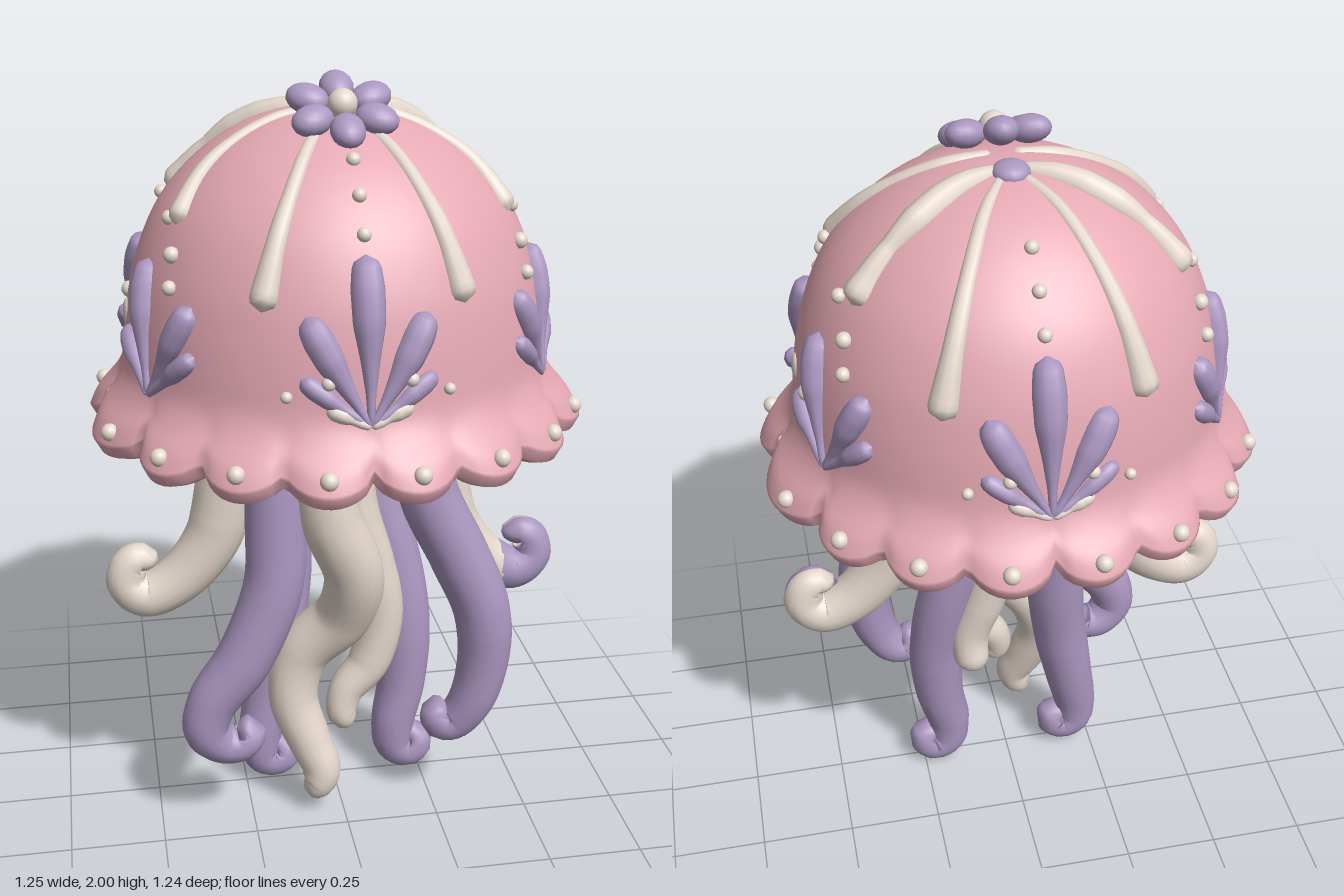
import * as THREE from 'three';
import { mergeVertices } from 'three/addons/utils/BufferGeometryUtils.js';

const V = (x, y, z) => new THREE.Vector3(x, y, z);
const ZS = 0.975; // the bell is slightly narrower front to back

// Outer bell profile (radius, height) from rim to crown
const outer = new THREE.SplineCurve([[0.618, 1.16], [0.598, 1.205], [0.562, 1.25], [0.54, 1.3], [0.53, 1.38],
  [0.518, 1.46], [0.494, 1.56], [0.447, 1.67], [0.385, 1.755], [0.3, 1.83], [0.2, 1.885], [0.1, 1.914], [0, 1.922]]
  .map(p => new THREE.Vector2(...p))).getPoints(48);
const inner = new THREE.SplineCurve([[0, 1.275], [0.2, 1.27], [0.36, 1.245], [0.47, 1.195], [0.53, 1.145], [0.565, 1.125],
  [0.603, 1.132]].map(p => new THREE.Vector2(...p))).getPoints(24);

// Profile lookup: radius from height, or height from radius
function lookup(from, to, value) {
  for (let i = 1; i < outer.length; i++) {
    const a = outer[i - 1], b = outer[i];
    if ((a[from] - value) * (b[from] - value) <= 0) {
      return a[to] + (b[to] - a[to]) * (value - a[from]) / ((b[from] - a[from]) || 1);
    }
  }
  return 0;
}
// Point on the bell by azimuth (0 = left side, PI/2 = front) and height
function onBell(az, y, lift = 0) {
  const r = lookup('y', 'x', y) + lift;
  return V(Math.cos(az) * r, y, Math.sin(az) * r * ZS);
}
// Point on the bell seen from above
function onCrown(x, z) {
  return V(x, lookup('x', 'y', Math.hypot(x, z / ZS)) - 0.008, z);
}

// Rounded tube of varying radius along a smooth path
function sweep(points, radii, segments = 40, sides = 12) {
  const curve = new THREE.CatmullRomCurve3(points);
  const length = curve.getLength();
  const g = new THREE.TubeGeometry(curve, segments, 1, sides, false);
  const pos = g.attributes.position, v = V(0, 0, 0);
  for (let i = 0; i <= segments; i++) {
    const t = i / segments, c = curve.getPointAt(t);
    const f = t * (radii.length - 1), k = Math.min(Math.floor(f), radii.length - 2);
    let r = THREE.MathUtils.lerp(radii[k], radii[k + 1], f - k);
    const d = Math.min(t, 1 - t) * length;
    if (d < r) r *= Math.sqrt(Math.max(0, 1 - (1 - d / r) ** 2));
    r = Math.max(r, 0.0008);
    for (let j = 0; j <= sides; j++) {
      const n = i * (sides + 1) + j;
      v.fromBufferAttribute(pos, n).sub(c).multiplyScalar(r).add(c);
      pos.setXYZ(n, v.x, v.y, v.z);
    }
  }
  return smooth(g);
}
function smooth(g) {
  g.deleteAttribute('uv');
  g.deleteAttribute('normal');
  const m = mergeVertices(g, 1e-5);
  m.computeVertexNormals();
  return m;
}

// Bell with a scalloped, flaring rim
function bellGeometry() {
  const g = new THREE.LatheGeometry([...inner, ...outer], 192);
  const pos = g.attributes.position;
  for (let i = 0; i < pos.count; i++) {
    const x = pos.getX(i), y = pos.getY(i), z = pos.getZ(i), r = Math.hypot(x, z);
    const a = Math.atan2(Math.abs(z), Math.abs(x));
    const lobe = Math.pow(Math.abs(a < Math.PI / 6 ? Math.sin(a * 6) : Math.cos(a * 9)), 0.6);
    const w = (1 - THREE.MathUtils.smoothstep(y, 1.16, 1.31)) * THREE.MathUtils.smoothstep(r, 0.47, 0.57);
    const k = r > 0 ? 1 + w * (lobe - 0.6) * 0.055 / r : 1;
    pos.setXYZ(i, x * k, y + w * (0.024 - 0.042 * lobe), z * k * ZS);
  }
  return smooth(g);
}

export function createModel() {
  const model = new THREE.Group();
  const material = (name, color) => Object.assign(new THREE.MeshStandardMaterial({ color }), { name });
  const pink = material('pink', 0xe5a9b4);
  const purple = material('purple', 0xab97c0);
  const cream = material('cream', 0xe5d8cd);

  const add = (name, geometry, mat, parent = model) => {
    const mesh = new THREE.Mesh(geometry, mat);
    mesh.name = name;
    parent.add(mesh);
    return mesh;
  };
  const ball = new THREE.SphereGeometry(1, 16, 12);
  const bead = (p, r = 0.018, mat = cream, name = 'bead') => {
    const m = add(name, ball, mat);
    m.position.copy(p);
    m.scale.setScalar(r);
    return m;
  };

  add('bell', bellGeometry(), pink);

  // Cream ribs running down from the crown
  for (const s of [-1, 1]) {
    const rib = (pts, radii) => add('rib', sweep(pts.map(([x, z]) => onCrown(s * x, z)), radii, 36, 10), cream);
    rib([[0.04, 0.12], [0.1, 0.23], [0.15, 0.32], [0.19, 0.38], [0.235, 0.43]], [0.016, 0.018, 0.02, 0.026, 0.038]);
    rib([[0.02, 0.04], [0.13, 0.045], [0.25, 0.075], [0.33, 0.11], [0.4, 0.175]], [0.016, 0.02, 0.02, 0.026, 0.036]);
    rib([[0.02, -0.04], [0.12, -0.075], [0.22, -0.12], [0.3, -0.15], [0.39, -0.185]],
      [0.018, 0.03, 0.038, 0.038, 0.026, 0.034, 0.046]);
    rib([[0.015, -0.06], [0.08, -0.17], [0.14, -0.29], [0.19, -0.38], [0.235, -0.435]], [0.014, 0.018, 0.02, 0.026, 0.04]);
  }

  // Leaf sprays: upright ones front and back, leaning ones at the four corners
  for (const [deg, lean] of [[90, 0], [270, 0], [26, -1], [154, 1], [206, -1], [334, 1]]) {
    const at = (u, y, lift = -0.002) => onBell(THREE.MathUtils.degToRad(deg) + u / 0.53, y, lift);
    const leaf = (u, y, w, mat = purple) => {
      const pts = [0, 0.35, 0.7, 1].map(t => at(u * t, 1.28 + (y - 1.28) * t));
      add('leaf', sweep(pts, [0.008, 0.012, w * 0.6, w * 0.95, w, w * 0.8], 24, 10), mat);
    };
    if (lean) {
      leaf(lean * 0.1, 1.59, 0.038);
      leaf(-lean * 0.135, 1.52, 0.036);
      leaf(-lean * 0.16, 1.41, 0.026);
      leaf(lean * 0.165, 1.41, 0.028);
    } else {
      leaf(0, 1.66, 0.04);
      for (const s of [-1, 1]) {
        leaf(s * 0.15, 1.53, 0.038);
        leaf(s * 0.16, 1.39, 0.024);
        leaf(s * 0.1, 1.325, 0.02, cream);
        bead(at(s * 0.095, 1.385, 0.006), 0.017);
        bead(at(s * 0.19, 1.35, 0.006), 0.014);
      }
    }
  }

  // Beads: rim, crown columns, shoulders and side discs
  for (let i = 0; i < 18; i++) {
    if (i % 9) bead(onBell(i * Math.PI / 9, 1.182, 0.012), 0.022);
  }
  for (const s of [-1, 1]) {
    for (const y of [1.84, 1.775, 1.7]) bead(onBell(s * Math.PI / 2, y, 0.004), 0.017);
    for (const t of [-1, 1]) {
      const side = s > 0 ? 0 : Math.PI;
      bead(onBell(side + t * 0.34, 1.69, 0.006), 0.018);
      bead(onBell(side + t * 0.5, 1.62, 0.006), 0.02);
      bead(onBell(side + t * 0.55, 1.55, 0.006), 0.018);
    }
    bead(onBell(Math.PI * 1.5 + s * 1.29, 1.44, 0.006), 0.022);
    bead(V(s * 0.518, 1.42, 0), 0.038, cream, 'sideDisc').scale.x = 0.014;
    bead(V(s * 0.57, 1.21, 0), 0.014);
  }
  bead(V(0, 1.915, -0.06), 0.046, purple, 'crownBall').scale.y = 0.028;

  // Flower on the crown, tilted forward
  const flower = new THREE.Group();
  flower.name = 'flower';
  flower.position.set(0, 1.93, 0.13);
  flower.rotation.x = 0.44;
  for (let i = 0; i < 6; i++) {
    const a = i * Math.PI / 3;
    const petal = add('petal', ball, purple, flower);
    petal.position.set(Math.sin(a) * 0.088, 0, Math.cos(a) * 0.088);
    petal.rotation.y = a;
    petal.scale.set(0.042, 0.034, 0.054);
  }
  const heart = add('flowerCentre', ball, cream, flower);
  heart.position.y = 0.014;
  heart.scale.setScalar(0.036);
  model.add(flower);

  // Tentacles: curling tapered tubes
  const tentacle = (name, mat, pts, radii) =>
    add(name, sweep(pts.map(p => V(...p)), radii, 110, 16), mat);
  const thick = [0.064, 0.074, 0.079, 0.079, 0.075, 0.063, 0.046];

  const sidePath = s => [[0.1, 1.25, 0], [0.2, 1.215, 0], [0.26, 1.1, 0], [0.285, 0.95, 0], [0.325, 0.79, 0], [0.42, 0.67, 0],
    [0.51, 0.63, 0], [0.56, 0.67, 0], [0.548, 0.725, 0], [0.515, 0.735, 0], [0.5, 0.705, 0]].map(([x, y, z]) => [s * x, y, z]);
  const sideRadii = [0.06, 0.076, 0.082, 0.08, 0.07, 0.06, 0.04];
  tentacle('rightSideTentacle', cream, sidePath(-1), sideRadii);
  const leftSide = tentacle('leftSideTentacle', cream, sidePath(1), sideRadii);
  // The front half of the left curl is purple
  const g = leftSide.geometry, idx = g.index.array, p = g.attributes.position;
  const parts = [[], []];
  for (let i = 0; i < idx.length; i += 3) {
    const t = [idx[i], idx[i + 1], idx[i + 2]];
    const mean = f => (f(t[0]) + f(t[1]) + f(t[2])) / 3;
    parts[mean(n => p.getX(n)) > 0.465 && mean(n => p.getZ(n)) > -0.005 ? 1 : 0].push(...t);
  }
  g.setIndex([...parts[0], ...parts[1]]);
  g.addGroup(0, parts[0].length, 0);
  g.addGroup(parts[0].length, parts[1].length, 1);
  leftSide.material = [cream, purple];

  tentacle('rightFrontTentacle', purple, [[-0.16, 1.32, 0.15], [-0.185, 1.15, 0.18], [-0.18, 0.9, 0.19], [-0.19, 0.73, 0.2],
    [-0.27, 0.53, 0.21], [-0.36, 0.4, 0.21], [-0.375, 0.32, 0.21], [-0.33, 0.27, 0.2], [-0.278, 0.27, 0.2],
    [-0.265, 0.3, 0.2], [-0.295, 0.31, 0.2]], thick);
  tentacle('leftFrontTentacle', purple, [[0.14, 1.32, 0.15], [0.18, 1.15, 0.18], [0.22, 0.95, 0.19], [0.3, 0.78, 0.2],
    [0.365, 0.62, 0.21], [0.375, 0.47, 0.21], [0.345, 0.34, 0.21], [0.3, 0.277, 0.2], [0.265, 0.277, 0.2],
    [0.258, 0.31, 0.2], [0.285, 0.325, 0.2]], thick);
  tentacle('leftRearTentacle', purple, [[0.07, 1.32, -0.04], [0.075, 1.15, -0.05], [0.1, 0.9, -0.06], [0.17, 0.68, -0.05],
    [0.205, 0.48, -0.03], [0.2, 0.28, -0.02], [0.175, 0.15, -0.01], [0.182, 0.083, -0.01], [0.22, 0.06, -0.01],
    [0.243, 0.083, -0.01], [0.23, 0.11, -0.01], [0.205, 0.1, -0.01]], thick);
  tentacle('rightRearTentacle', purple, [[-0.14, 1.32, -0.04], [-0.15, 1.15, -0.05], [-0.14, 0.9, -0.06], [-0.13, 0.68, -0.05],
    [-0.15, 0.48, -0.03], [-0.185, 0.28, -0.02], [-0.208, 0.15, -0.01], [-0.203, 0.09, -0.01], [-0.17, 0.07, -0.01],
    [-0.14, 0.09, -0.01], [-0.155, 0.115, -0.01], [-0.18, 0.105, -0.01]], thick);
  tentacle('frontTentacle', cream, [[-0.06, 1.32, 0.15], [-0.06, 1.15, 0.21], [-0.045, 0.93, 0.235], [0.02, 0.75, 0.21],
    [0.0, 0.6, 0.15], [-0.1, 0.48, 0.11], [-0.13, 0.35, 0.12], [-0.09, 0.22, 0.15], [-0.06, 0.14, 0.17],
    [-0.075, 0.095, 0.17], [-0.11, 0.08, 0.17]], thick);
  tentacle('middleTentacle', cream, [[0.01, 1.32, 0.05], [0.02, 1.15, 0.08], [0.03, 0.9, 0.1], [0.08, 0.72, 0.1],
    [0.11, 0.57, 0.1], [0.08, 0.43, 0.11], [0.015, 0.35, 0.12], [0.005, 0.285, 0.13], [0.04, 0.265, 0.13]],
  [0.06, 0.068, 0.072, 0.07, 0.058, 0.038]);
  tentacle('innerTentacle', cream, [[0.02, 1.32, -0.05], [0.01, 1.1, -0.07], [0.04, 0.85, -0.09], [0.08, 0.68, -0.09],
    [0.12, 0.55, -0.09], [0.115, 0.44, -0.12]], [0.055, 0.062, 0.066, 0.06, 0.046]);
  tentacle('backTentacle', cream, [[0.02, 1.3, -0.1], [0.03, 1.2, -0.14], [0.045, 1.05, -0.175], [0.06, 0.93, -0.185],
    [0.075, 0.82, -0.17]], [0.06, 0.07, 0.07, 0.06, 0.038]);

  return model;
}
